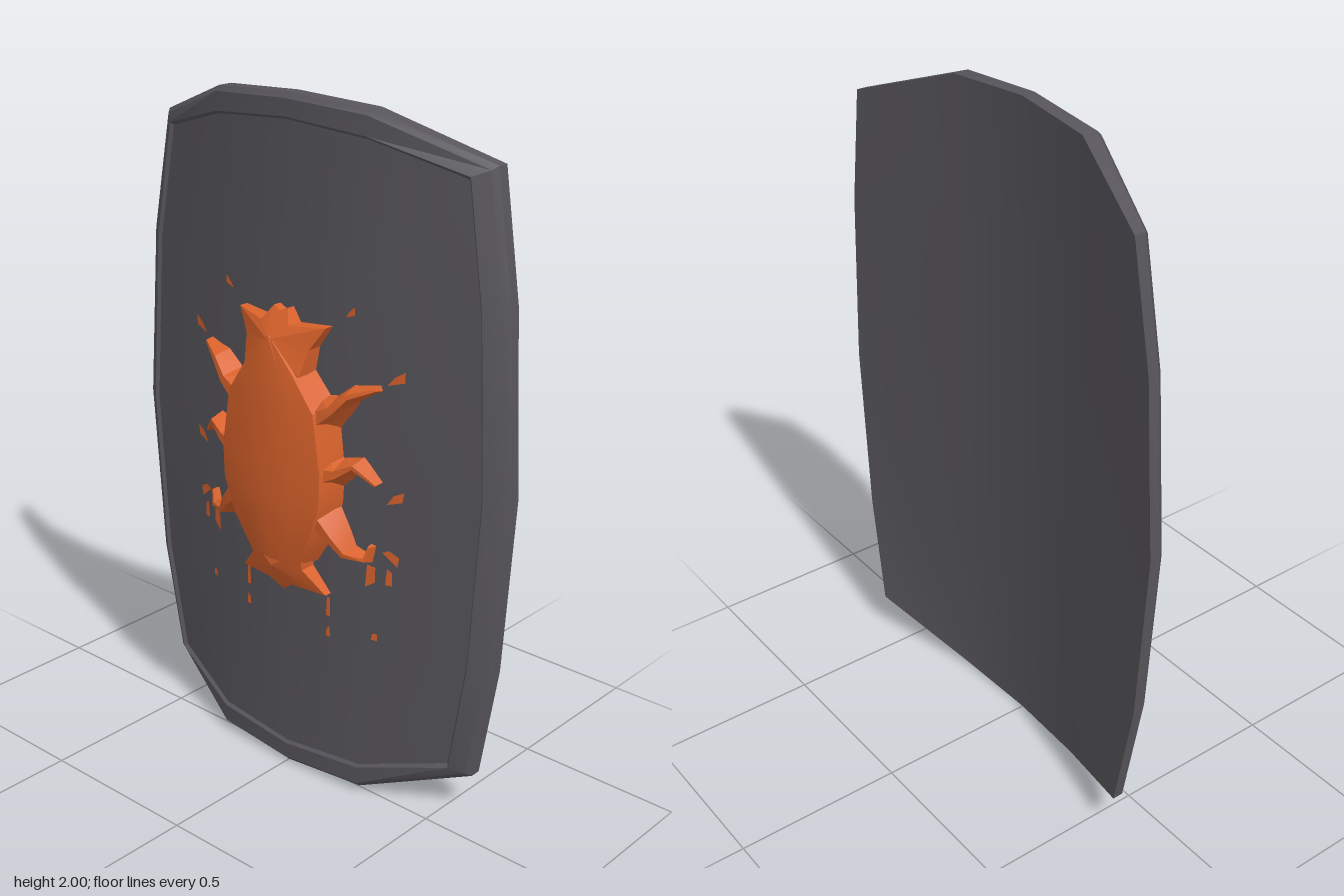
import * as THREE from 'three';
import { toCreasedNormals } from 'three/addons/utils/BufferGeometryUtils.js';

const iron = new THREE.MeshStandardMaterial({ color: 0x57555b });
iron.name = 'dark iron';
const orange = new THREE.MeshStandardMaterial({ color: 0xd9622b, side: THREE.DoubleSide });
orange.name = 'orange enamel';

// Surface through rows of points
function loft(name, rows, material, crease, flip = false) {
  const n = rows[0].length, index = [];
  for (let i = 0; i < rows.length - 1; i++) {
    for (let j = 0; j < n - 1; j++) {
      const a = i * n + j, b = a + 1, c = a + n, d = c + 1;
      if (flip) index.push(a, b, c, b, d, c);
      else index.push(a, c, b, b, c, d);
    }
  }
  return solid(name, rows.flat(), index, material, crease);
}

function solid(name, points, index, material, crease) {
  let g = new THREE.BufferGeometry();
  g.setAttribute('position', new THREE.Float32BufferAttribute(points.flat(), 3));
  g.setIndex(index);
  g = toCreasedNormals(g, crease);
  const mesh = new THREE.Mesh(g, material);
  mesh.name = name;
  return mesh;
}

// Shield layer: 5 x 5 points, rows from top to bottom, columns from -x to +x.
// edge: half widths at corner, quarter, middle; top: heights and z: depths at centre, shoulder, edge
const ROWS = [0, 0.2, 0.5, 0.8, 1];
function layer(edge, top, z) {
  return ROWS.map((t, i) => [-2, -1, 0, 1, 2].map((c) => {
    const k = Math.abs(c), e = edge[2 - Math.abs(i - 2)];
    const x = Math.sign(c) * (k === 2 ? e : k === 1 ? 0.265 : 0);
    const y = top[k] + (2 - 2 * top[k]) * t;
    return [x, y, z[k] + (k === 2 ? (e - edge[0]) * 0.12 : 0)];
  }));
}

// Closed loop round the border of a layer, clockwise from the front
function border(g) {
  const loop = [];
  for (let j = 0; j < 4; j++) loop.push(g[0][j]);
  for (let i = 0; i < 4; i++) loop.push(g[i][4]);
  for (let j = 4; j > 0; j--) loop.push(g[4][j]);
  for (let i = 4; i >= 0; i--) loop.push(g[i][0]);
  return loop;
}

// Depth of the front panel at x
function panelZ(x) {
  const a = Math.abs(x);
  return a < 0.265 ? 0.037 - a * 0.064 : 0.02 - (a - 0.265) * 0.235;
}

// Raised star: a fan from an apex, with walls down to the panel
function star(name, apex, ring) {
  const n = ring.length, index = [];
  const feet = ring.map(([x, y]) => [x, y, panelZ(x) - 0.01]);
  for (let i = 0; i < n; i++) {
    const a = 1 + i, b = 1 + (i + 1) % n;
    index.push(0, a, b, a, a + n, b, b, a + n, b + n);
  }
  return solid(name, [apex, ...ring, ...feet], index, orange, 0.3);
}

// Tapering ridged leg along [x, y, ridge z, half width]
function leg(name, path, s) {
  const rows = path.map(([x, y, z, w], i) => {
    const p = path[Math.max(i - 1, 0)], q = path[Math.min(i + 1, path.length - 1)];
    const l = Math.hypot(q[0] - p[0], q[1] - p[1]);
    const nx = -(q[1] - p[1]) / l * w, ny = (q[0] - p[0]) / l * w;
    const base = panelZ(x) - 0.01;
    return [[s * (x - nx), y - ny, base], [s * (x - nx * 0.3), y - ny * 0.3, z],
      [s * (x + nx * 0.3), y + ny * 0.3, z], [s * (x + nx), y + ny, base]];
  });
  const [x, y] = path[path.length - 1];
  rows.push(rows[0].map(() => [s * x, y, panelZ(x) - 0.01]));
  return loft(name, rows, orange, 0.3);
}

export function createModel() {
  const model = new THREE.Group();
  model.name = 'shield';

  // Curved plate and its rim
  const outerEdge = [0.582, 0.642, 0.675], outerTop = [2, 1.985, 1.87];
  const back = layer(outerEdge, outerTop, [-0.01, -0.03, -0.132]);
  const side = layer(outerEdge, outerTop, [0.03, 0.015, -0.1]);
  const bevel = layer([0.57, 0.629, 0.662], [1.985, 1.971, 1.86], [0.044, 0.029, -0.083]);
  const crest = layer([0.532, 0.588, 0.618], [1.938, 1.918, 1.842], [0.045, 0.03, -0.052]);
  const panel = layer([0.524, 0.58, 0.61], [1.93, 1.91, 1.834], [0.037, 0.02, -0.06]);
  model.add(loft('frontPanel', panel, iron, 0.5));
  model.add(loft('backPanel', back, iron, 0.5, true));
  model.add(loft('rim', [back, side, bevel, crest, panel].map(border), iron, 0.45));

  const beetle = new THREE.Group();
  beetle.name = 'beetleEmblem';
  model.add(beetle);

  // Domed body: y, half width, edge z, centre z, foot half width
  const body = [
    [1.36, 0.004, 0.113, 0.115, 0.03], [1.27, 0.085, 0.112, 0.126, 0.1],
    [1.17, 0.155, 0.106, 0.131, 0.185], [1.0, 0.182, 0.106, 0.135, 0.205],
    [0.9, 0.178, 0.106, 0.134, 0.2], [0.8, 0.142, 0.104, 0.13, 0.175],
    [0.7, 0.09, 0.092, 0.112, 0.115],
  ].map(([y, w, ze, zc, f]) => [
    [-f, y, panelZ(f) - 0.01], [-w, y, ze], [-w * 0.55, y, (ze + zc * 3) / 4], [0, y, zc],
    [w * 0.55, y, (ze + zc * 3) / 4], [w, y, ze], [f, y, panelZ(f) - 0.01],
  ]);
  beetle.add(loft('body', body, orange, 0.4));

  // Head with horns, and forked tail
  beetle.add(star('head', [0, 1.35, 0.117], [
    [0.1, 1.26, 0.1], [0.115, 1.335, 0.075], [0.158, 1.4, 0.055], [0.05, 1.39, 0.085], [0.025, 1.43, 0.06],
    [0, 1.42, 0.065],
    [-0.025, 1.43, 0.06], [-0.05, 1.39, 0.085], [-0.158, 1.4, 0.055], [-0.115, 1.335, 0.075], [-0.1, 1.26, 0.1],
  ]));
  beetle.add(star('tail', [0, 0.675, 0.105], [
    [-0.1, 0.74, 0.095], [-0.095, 0.68, 0.08], [-0.158, 0.61, 0.05], [-0.04, 0.615, 0.07],
    [0, 0.58, 0.05],
    [0.04, 0.615, 0.07], [0.158, 0.61, 0.05], [0.095, 0.68, 0.08], [0.1, 0.74, 0.095],
  ]));

  // Three jointed legs a side
  const legs = {
    frontLeg: [[0.13, 1.14, 0.1, 0.07], [0.2, 1.185, 0.09, 0.035], [0.245, 1.232, 0.075, 0.025], [0.315, 1.258, 0.035, 0.01]],
    middleLeg: [[0.16, 0.99, 0.1, 0.07], [0.215, 1.005, 0.085, 0.035], [0.265, 1.035, 0.07, 0.02], [0.318, 0.985, 0.035, 0.01]],
    backLeg: [[0.13, 0.87, 0.1, 0.07], [0.2, 0.81, 0.09, 0.035], [0.235, 0.765, 0.07, 0.025], [0.29, 0.76, 0.045, 0.018], [0.3, 0.8, 0.035, 0.01]],
  };

  // Small inlaid slivers where the claws meet the panel
  const slivers = [
    [[0.335, 1.27], [0.385, 1.285], [0.385, 1.315], [0.355, 1.295]],
    [[0.205, 1.435], [0.235, 1.445], [0.235, 1.468], [0.22, 1.455]],
    [[0.34, 0.93], [0.385, 0.945], [0.39, 0.975], [0.36, 0.96]],
    [[0.28, 0.67], [0.31, 0.69], [0.31, 0.735], [0.285, 0.74]],
    [[0.34, 0.69], [0.36, 0.69], [0.36, 0.73], [0.345, 0.74]],
    [[0.33, 0.785], [0.375, 0.75], [0.38, 0.78], [0.35, 0.795]],
    [[0.147, 0.54], [0.162, 0.54], [0.16, 0.6], [0.15, 0.6]],
    [[0.147, 0.475], [0.162, 0.475], [0.16, 0.51], [0.15, 0.5]],
    [[0.3, 0.51], [0.32, 0.51], [0.318, 0.532], [0.305, 0.53]],
  ];

  for (const s of [-1, 1]) {
    const prefix = s > 0 ? 'left' : 'right';
    for (const [name, path] of Object.entries(legs)) {
      beetle.add(leg(`${prefix} ${name}`, path, s));
    }
    slivers.forEach((pts, i) => {
      const p = pts.map(([x, y]) => [s * x, y, panelZ(x) + 0.007]);
      const index = s > 0 ? [0, 1, 2, 0, 2, 3] : [0, 2, 1, 0, 3, 2];
      beetle.add(solid(`${prefix} clawSliver ${i + 1}`, p, index, orange, 0.3));
    });
  }

  return model;
}
